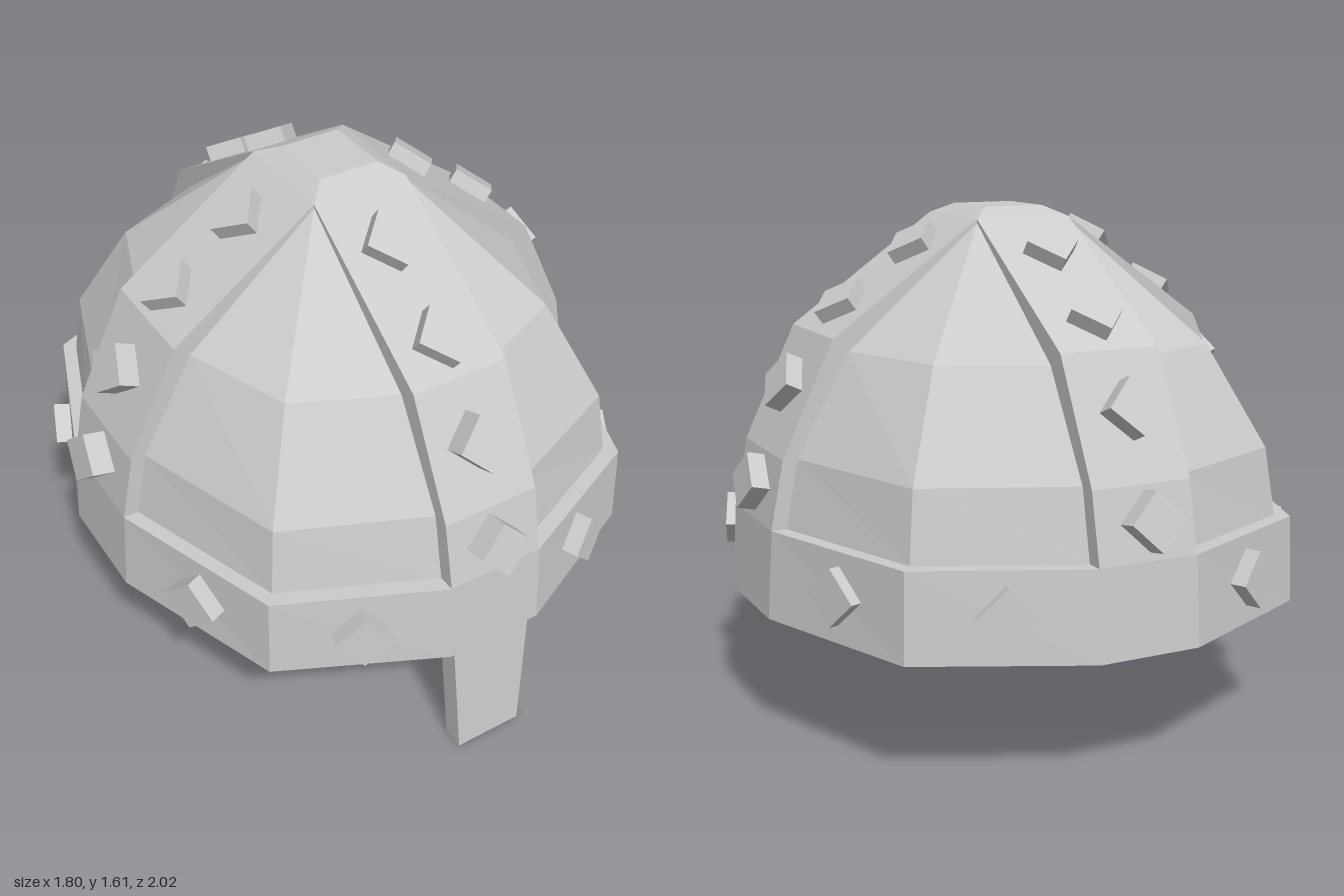
import * as THREE from 'three';

const material = new THREE.MeshStandardMaterial({ color: 0xcccccc, flatShading: true });

function part(name, geometry, parent) {
  const mesh = new THREE.Mesh(geometry, material);
  mesh.name = name;
  parent.add(mesh);
  return mesh;
}

// Groups are built round, then stretched front to back
function stretchedGroup(name, x, z, parent) {
  const group = new THREE.Group();
  group.name = name;
  group.scale.z = 1.125;
  group.position.set(x, 0, z);
  parent.add(group);
  return group;
}

// Twelve-sided ring: short sides of half-width w at distance a, diagonal corners at (m, m)
function ring([y, a, m, w]) {
  const points = [];
  for (let k = 0; k < 4; k++) {
    for (let [x, z] of [[a, w], [a, -w], [m, -m]]) {
      for (let i = 0; i < k; i++) [x, z] = [z, -x];
      points.push([x, y, z]);
    }
  }
  return points;
}

// Skin a list of rings; a downward list faces outward
function loft(rows) {
  const rings = rows.map(ring);
  const position = [];
  for (let r = 0; r < rings.length - 1; r++) {
    for (let i = 0; i < 12; i++) {
      const j = (i + 1) % 12;
      const [a, b, c, d] = [rings[r][i], rings[r + 1][i], rings[r + 1][j], rings[r][j]];
      position.push(...a, ...b, ...c, ...a, ...c, ...d);
    }
  }
  const geometry = new THREE.BufferGeometry();
  geometry.setAttribute('position', new THREE.Float32BufferAttribute(position, 3));
  geometry.computeVertexNormals();
  return geometry;
}

const polygon = (points) => new THREE.Shape(points.map(([x, y]) => new THREE.Vector2(x, y)));

// Diamond-set square stud, half sunk into the surface it sits on
const studGeometry = new THREE.BoxGeometry(0.123, 0.123, 0.09);
studGeometry.rotateZ(Math.PI / 4).translate(0, 0, 0.013);

function stud(parent, x, y, z, turn, tilt) {
  const mesh = part('stud', studGeometry, parent);
  mesh.position.set(x, y, z);
  mesh.rotation.set(-tilt, turn, 0, 'YXZ');
}

export function createModel() {
  const model = new THREE.Group();
  model.name = 'helmet';
  const shell = stretchedGroup('shell', 0.008, -0.005, model);
  const fittings = stretchedGroup('fittings', 0, 0, model);

  // Recessed dome panels
  part('domePanels', loft([
    [1.565, 0.156, 0.156, 0.156],
    [1.2, 0.58, 0.457, 0.157],
    [0.89, 0.75, 0.587, 0.157],
    [0.68, 0.79, 0.61, 0.157],
  ]), shell);

  // Brow band, thick rim and inner lining in one skin
  part('browBandAndLining', loft([
    [0.68, 0.77, 0.59, 0.15],
    [0.68, 0.837, 0.643, 0.16],
    [0.41, 0.855, 0.65, 0.16],
    [0.41, 0.745, 0.56, 0.14],
    [0.89, 0.69, 0.54, 0.14],
    [1.2, 0.53, 0.41, 0.14],
    [1.52, 0.14, 0.14, 0.14],
    [1.52, 0, 0, 0],
  ]), shell);

  // Four raised straps
  const strapGeometry = new THREE.ExtrudeGeometry(polygon([
    [0.837, 0.68], [0.795, 0.89], [0.63, 1.24], [0.157, 1.575],
    [0.157, 1.5], [0.56, 1.18], [0.72, 0.87], [0.75, 0.68],
  ]), { depth: 0.316, bevelEnabled: false });
  strapGeometry.rotateY(-Math.PI / 2).translate(0.158, 0, 0);
  for (let k = 0; k < 4; k++) part('strap', strapGeometry, shell).rotation.y = k * Math.PI / 2;

  // Crown cap where the straps meet
  const cap = new THREE.CylinderGeometry(0.1 * Math.SQRT2, 0.157 * Math.SQRT2, 0.031, 4);
  cap.rotateY(Math.PI / 4).translate(0, 1.5905, 0);
  part('crownCap', cap, shell);

  // Studs: four down each strap and two beside it on the band
  const strapStuds = [[0.822, 0.79, 0.22], [0.71, 1.08, 0.44], [0.529, 1.302, 0.956], [0.288, 1.472, 0.956]];
  for (let k = 0; k < 4; k++) {
    const quarter = new THREE.Group();
    quarter.name = 'studQuarter';
    quarter.rotation.y = k * Math.PI / 2;
    fittings.add(quarter);
    const shift = [0, 0.013, 0, -0.013][k];
    for (const [r, y, tilt] of strapStuds) stud(quarter, shift, y, r, 0, tilt);
    const [across, out] = k % 2 ? [0.415, 0.728] : [0.392, 0.738];
    for (const side of [-1, 1]) stud(quarter, side * across, 0.55, out, side * 0.39, 0.04);
  }

  // Nose guard, leaning forward towards its lower end
  const nose = new THREE.ExtrudeGeometry(
    polygon([[-0.114, 0], [0.11, 0], [0.136, 0.41], [-0.136, 0.41]]),
    { depth: 0.062, bevelEnabled: false });
  const p = nose.attributes.position;
  for (let i = 0; i < p.count; i++) p.setZ(i, p.getZ(i) + 0.813 - 0.066 * p.getY(i));
  nose.computeVertexNormals();
  part('noseGuard', nose, fittings);

  return model;
}
